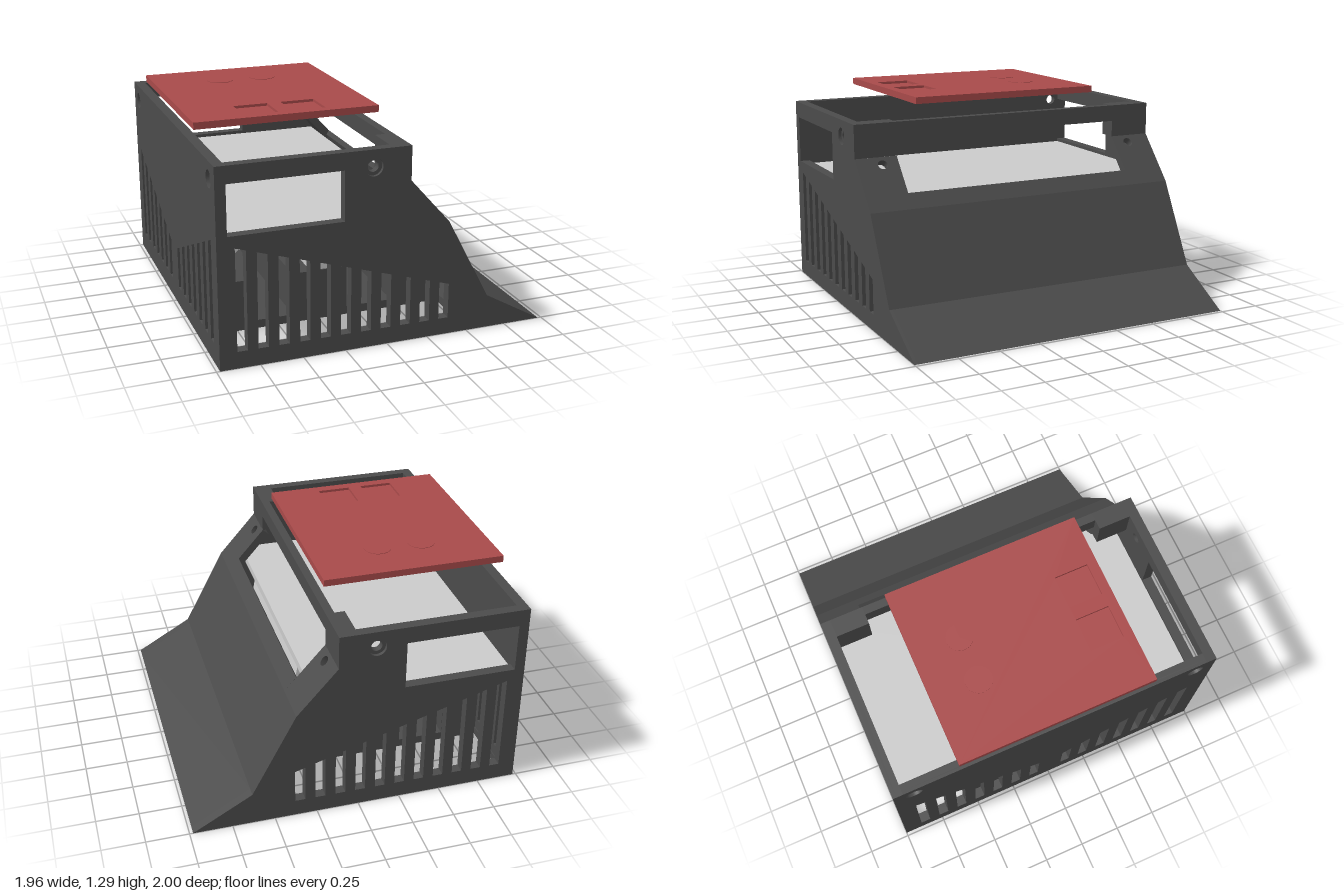
import * as THREE from 'three';

const mat = (name, color, side = THREE.FrontSide) => {
  const m = new THREE.MeshStandardMaterial({ color, side });
  m.name = name;
  return m;
};

const poly = (pts) => new THREE.Shape(pts.map(([x, y]) => new THREE.Vector2(x, y)));
const rect = (x0, y0, x1, y1) => poly([[x0, y0], [x1, y0], [x1, y1], [x0, y1]]);
const circle = (x, y, r) => new THREE.Shape().absarc(x, y, r, 0, Math.PI * 2, false);

// extrude an x-y outline between two z values
function slab(shape, z0, z1) {
  const g = new THREE.ExtrudeGeometry(shape, { depth: z1 - z0, bevelEnabled: false, curveSegments: 20 });
  return g.translate(0, 0, z0);
}

// extrude a plan outline (x, -z) between two heights
const layer = (shape, y0, y1) => slab(shape, y0, y1).rotateX(-Math.PI / 2);

export function createModel() {
  const dark = mat('charcoalShell', 0x4b4b4b);
  const grey = mat('lightGreyTray', 0xcbcbcb);
  const red = mat('redLid', 0xa84a4a);
  const model = new THREE.Group();
  const add = (name, geo, material) => {
    const mesh = new THREE.Mesh(geo, material);
    mesh.name = name;
    model.add(mesh);
    return mesh;
  };
  const box = (name, x0, x1, y0, y1, z0, z1, material) =>
    add(name, new THREE.BoxGeometry(x1 - x0, y1 - y0, z1 - z0)
      .translate((x0 + x1) / 2, (y0 + y1) / 2, (z0 + z1) / 2), material);

  // side walls: window, sloping row of vents, countersunk hole
  const sideWall = (holeRadius) => {
    const s = poly([[-0.98, 0], [0.98, 0], [0.63, 0.2], [0.37, 0.69], [0.13, 0.96], [0.13, 1.16], [-0.98, 1.16]]);
    s.holes.push(rect(-0.92, 0.77, -0.26, 1.06), circle(-0.09, 1.06, holeRadius));
    const top = (x) => 0.7 - 0.31 * (x + 0.88);
    for (let i = 0; i < 11; i++) {
      const x = -0.88 + i * 0.12;
      s.holes.push(poly([[x, 0.1], [x + 0.06, 0.1], [x + 0.06, top(x + 0.06)], [x, top(x)]]));
    }
    return s;
  };
  add('frontWallOuter', slab(sideWall(0.052), 0.98, 1), dark);
  add('frontWallInner', slab(sideWall(0.032), 0.94, 0.98), dark);
  add('backWallOuter', slab(sideWall(0.052), -1, -0.98), dark);
  add('backWallInner', slab(sideWall(0.032), -0.98, -0.94), dark);

  // tall end wall with two mirrored groups of vents
  const endWall = (holeRadius) => {
    const s = rect(-0.94, 0, 0.94, 1.16);
    const top = (z) => 0.37 + 0.43 * (z - 0.07);
    for (const m of [-1, 1]) {
      s.holes.push(circle(m * 0.88, 1.06, holeRadius));
      for (let i = 0; i < 7; i++) {
        const a = 0.08 + i * 0.125, b = a + 0.06;
        s.holes.push(poly([[m * a, 0.12], [m * b, 0.12], [m * b, top(b)], [m * a, top(a)]]));
      }
    }
    return s;
  };
  add('endWallOuter', slab(endWall(0.05), -0.98, -0.96).rotateY(Math.PI / 2), dark);
  add('endWallInner', slab(endWall(0.032), -0.96, -0.92).rotateY(Math.PI / 2), dark);

  // sloped face
  add('slopedFace', slab(poly([
    [0.98, 0], [0.63, 0.2], [0.37, 0.69], [0.31, 0.67], [0.57, 0.17], [0.85, 0.02], [0.85, 0],
  ]), -0.94, 0.94), dark);
  add('openingSill', slab(poly([[0.37, 0.69], [0.3, 0.77], [0.285, 0.74], [0.31, 0.67]]), -0.74, 0.74), dark);
  box('openingBeam', 0.08, 0.13, 1.06, 1.16, -0.74, 0.74, dark);

  // corner blocks and drilled sloped panels beside the opening
  const along = new THREE.Vector3(-0.24, 0.27, 0).normalize();
  const across = new THREE.Vector3(0, 0, 1);
  const out = new THREE.Vector3().crossVectors(along, across);
  const basis = new THREE.Matrix4().makeBasis(along, across, out).setPosition(0.37, 0.69, 0);
  for (const m of [-1, 1]) {
    const z0 = m > 0 ? 0.74 : -0.94;
    box('cornerBlock', 0.02, 0.13, 0.96, 1.16, z0, z0 + 0.2, dark);
    const panel = rect(0, z0, 0.361, z0 + 0.2);
    panel.holes.push(circle(0.308, m * 0.84, 0.03));
    add('slopedCornerPanel', slab(panel, -0.05, 0).applyMatrix4(basis), dark);
  }

  // floor with long openings, end recesses and screw holes
  const floor = rect(-0.92, -0.94, 0.88, 0.94);
  for (const m of [-1, 1]) {
    floor.holes.push(rect(-0.92 + 0.005, m * 0.55, 0.52, m * 0.935));
    floor.holes.push(rect(0.58, m * 0.55, 0.7, m * 0.93));
    for (const x of [-0.87, -0.24, 0.43]) floor.holes.push(circle(x, m * 0.275, 0.035));
  }
  add('floor', layer(floor, 0, 0.05), dark);

  // raised supports under the tray
  for (const [a, b] of [[-0.92, -0.69], [-0.41, -0.07], [0.22, 0.52]])
    box('traySupport', a, b, 0.05, 0.31, -0.55, 0.55, dark);

  // inner tray: arched body below a wide top plate
  const body = new THREE.Shape();
  body.moveTo(-0.9, 0.31).lineTo(-0.815, 0.31);
  body.absarc(-0.555, 0.31, 0.26, Math.PI, 0, true);
  body.lineTo(-0.18, 0.31);
  body.absarc(0.08, 0.31, 0.26, Math.PI, 0.69, true);
  body.lineTo(0.24, 0.7).lineTo(-0.82, 0.7).lineTo(-0.82, 0.49).lineTo(-0.9, 0.49);
  add('trayBody', slab(body, -0.54, 0.54), grey);
  box('trayTopPlate', -0.92, 0.24, 0.7, 0.75, -0.94, 0.94, grey);

  // floating lid with square recesses and round pads
  box('lidBase', -0.98, 0.1, 1.25, 1.275, -0.6, 0.6, red);
  const lidTop = rect(-0.98, -0.6, 0.1, 0.6);
  for (const x of [-0.68, -0.4]) lidTop.holes.push(rect(x, -0.54, x + 0.2, -0.335));
  add('lidTop', layer(lidTop, 1.275, 1.29), red);
  for (const x of [-0.58, -0.31])
    add('roundPad', new THREE.CylinderGeometry(0.08, 0.08, 0.004, 32).translate(x, 1.291, -0.31), red);

  return model;
}
